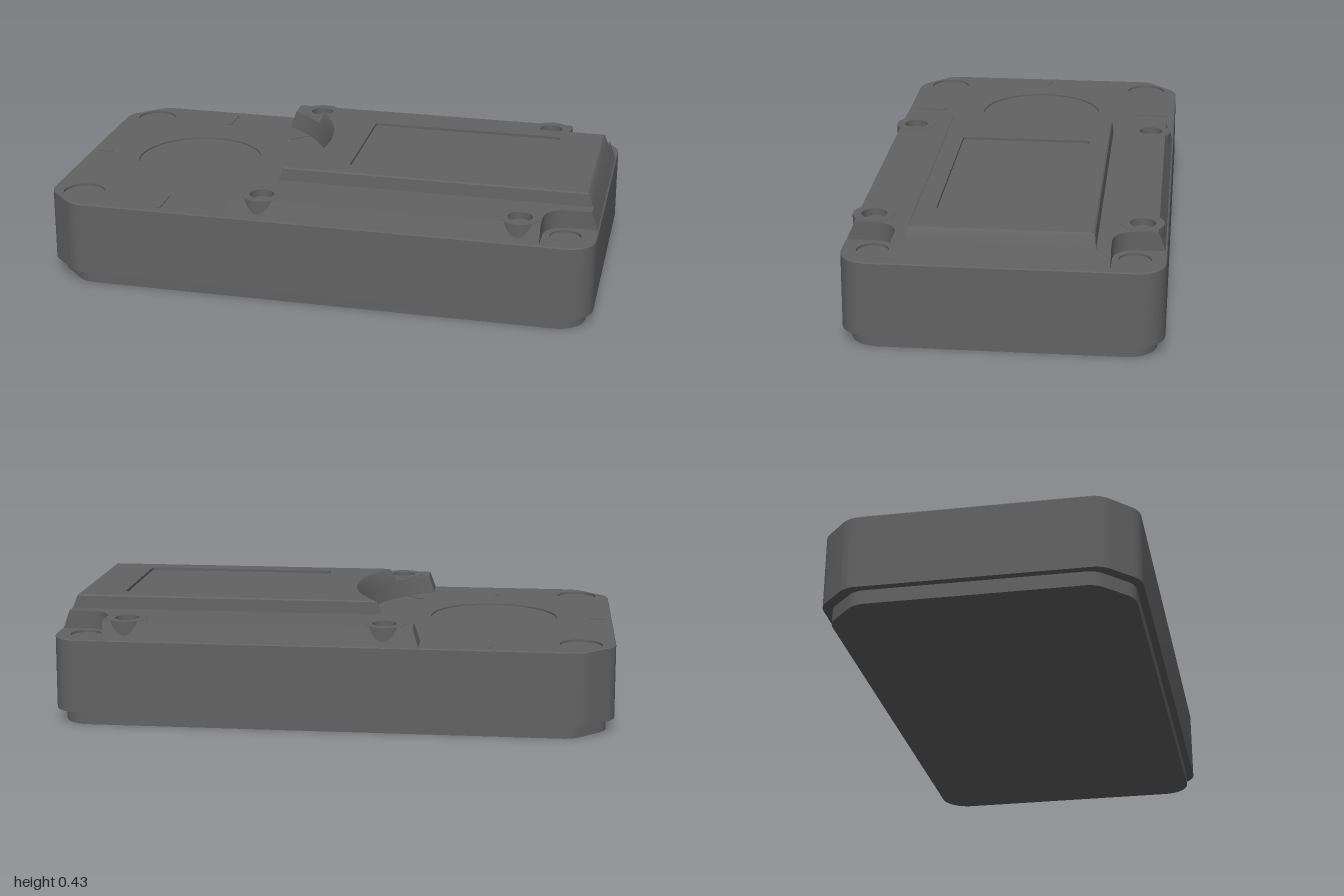
import * as THREE from 'three';
import { toCreasedNormals } from 'three/addons/utils/BufferGeometryUtils.js';

const material = new THREE.MeshStandardMaterial({ color: 0x626262 });
const V = (x, z) => new THREE.Vector2(x, z);
const FLOOR = 0.316, SHELF = 0.382, TOP = 0.431;
const DIAL_X = -0.58;

// Outline in x and z from [x, z, cornerRadius] corners
function outline(corners) {
  const pts = [], n = corners.length;
  corners.forEach(([x, z, r = 0], i) => {
    const p = V(x, z);
    if (!r) return pts.push(p);
    const a = corners[(i + n - 1) % n], b = corners[(i + 1) % n];
    const din = p.clone().sub(V(a[0], a[1])).normalize();
    const dout = V(b[0], b[1]).sub(p).normalize();
    const w = Math.sqrt((1 + din.dot(dout)) / 2);
    for (let k = 0; k <= 8; k++) {
      const t = k / 8, c0 = (1 - t) ** 2, c1 = 2 * w * t * (1 - t), c2 = t * t;
      pts.push(p.clone().addScaledVector(din, -r * c0 / (c0 + c1 + c2))
        .addScaledVector(dout, r * c2 / (c0 + c1 + c2)));
    }
  });
  return pts;
}

const circle = (x, z, r, n = 32) => Array.from({ length: n }, (_, i) =>
  V(x + r * Math.cos(i / n * 2 * Math.PI), z + r * Math.sin(i / n * 2 * Math.PI)));

// Solid through stacked rings [y, points], with blind pockets { pts, depth } in its top
function loft(name, rings, pockets = []) {
  const pos = [];
  const tri = (...vs) => vs.forEach(([p, y]) => pos.push(p.x, y, p.y));
  const wall = (lo, y0, hi, y1) => lo.forEach((a, i) => {
    const j = (i + 1) % lo.length;
    tri([a, y0], [hi[i], y1], [lo[j], y0]);
    tri([lo[j], y0], [hi[i], y1], [hi[j], y1]);
  });
  const cap = (pts, y, up, holes = []) => {
    const all = [...pts, ...holes.flat()];
    for (const [a, b, c] of THREE.ShapeUtils.triangulateShape([...pts], holes.map(h => [...h]))) {
      const ccw = THREE.ShapeUtils.area([all[a], all[b], all[c]]) > 0;
      const order = ccw === up ? [a, c, b] : [a, b, c];
      tri(...order.map(i => [all[i], y]));
    }
  };
  for (let i = 1; i < rings.length; i++) {
    wall(rings[i - 1][1], rings[i - 1][0], rings[i][1], rings[i][0]);
  }
  const [y, top] = rings[rings.length - 1];
  cap(rings[0][1], rings[0][0], false);
  cap(top, y, true, pockets.map(p => p.pts));
  for (const { pts, depth } of pockets) {
    wall(pts, y, pts, y - depth);
    cap(pts, y - depth, true);
  }
  const geo = new THREE.BufferGeometry();
  geo.setAttribute('position', new THREE.Float32BufferAttribute(pos, 3));
  const mesh = new THREE.Mesh(toCreasedNormals(geo, 0.5), material);
  mesh.name = name;
  return mesh;
}

// Case plan: clipped left corners, rounded right corners
const casePlan = (hx, hz) => outline([
  [-hx + 0.12, -hz, 0.035], [hx, -hz, 0.1], [hx, hz, 0.1],
  [-hx + 0.12, hz, 0.035], [-hx, hz - 0.115, 0.035], [-hx, -hz + 0.115, 0.035]]);

// Scooped edge around the dial, from +z to -z
function scoop(r, halfZ) {
  const a = Math.asin(halfZ / r);
  return Array.from({ length: 33 }, (_, i) => {
    const t = a * (1 - i / 16);
    return V(DIAL_X + r * Math.cos(t), r * Math.sin(t));
  });
}

// Shelf plan with notched right corners
function shelfPlan(left, right, hz, r) {
  const half = outline([[left, -hz], [0.81, -hz], [0.81, -0.36, 0.08], [right, -0.36],
    [right, 0.36], [0.81, 0.36, 0.08], [0.81, hz], [left, hz]]);
  return [...half, ...scoop(r, Math.sqrt(r * r - (left - DIAL_X) ** 2))];
}

const ridgePlan = (right, hz, r) => [V(right, -hz), V(right, hz), ...scoop(r, hz)];

export function createModel() {
  const group = new THREE.Group();

  // Inset foot and main case with shallow round recesses
  group.add(loft('basePlate', [[0, casePlan(0.972, 0.517)], [0.052, casePlan(0.972, 0.517)]]));
  const recesses = [{ pts: circle(-0.56, 0, 0.235, 64), depth: 0.006 }];
  for (const s of [-1, 1]) {
    recesses.push({ pts: circle(-0.875, s * 0.416, 0.075), depth: 0.008 });
    recesses.push({ pts: circle(0.89, s * 0.436, 0.055), depth: 0.008 });
  }
  group.add(loft('case', [
    [0.05, casePlan(1, 0.543)], [FLOOR - 0.004, casePlan(0.998, 0.541)],
    [FLOOR, casePlan(0.995, 0.538)]], recesses));

  // Raised shelf with four screw holes
  const screws = [-0.187, 0.733].flatMap(x => [[x, -0.455], [x, 0.455]]);
  group.add(loft('shelf', [
    [FLOOR - 0.005, shelfPlan(-0.313, 0.995, 0.537, 0.5)],
    [SHELF, shelfPlan(-0.29, 0.97, 0.51, 0.518)]],
  screws.map(([x, z]) => ({ pts: circle(x, z, 0.044), depth: 0.035 }))));

  // Central ridge with sunken panel
  const panel = outline([[0.08, -0.235, 0.015], [0.79, -0.235, 0.015],
    [0.79, 0.235, 0.015], [0.08, 0.235, 0.015]]);
  group.add(loft('ridge', [
    [SHELF - 0.001, ridgePlan(0.97, 0.312, 0.518)],
    [TOP - 0.005, ridgePlan(0.953, 0.307, 0.53)],
    [TOP, ridgePlan(0.948, 0.302, 0.534)]], [{ pts: panel, depth: 0.01 }]));

  // Screw bosses bulging out of the sloped sides, with screw heads
  const bossGeo = toCreasedNormals(new THREE.LatheGeometry(
    [V(0.074, 0.325), V(0.074, SHELF + 0.001), V(0.044, SHELF + 0.001)], 32), 0.5);
  const headGeo = new THREE.CylinderGeometry(0.032, 0.032, 0.02, 24);
  for (const [x, z] of screws) {
    const boss = new THREE.Mesh(bossGeo, material);
    boss.name = 'screwBoss';
    boss.position.set(x, 0, z);
    const head = new THREE.Mesh(headGeo, material);
    head.name = 'screwHead';
    head.position.set(x, SHELF - 0.03, z);
    group.add(boss, head);
  }

  // Fine radial marks around the dial: angle, radius, length
  const marks = [[-90, 0.45, 0.12], [90, 0.45, 0.12], [-45, 0.445, 0.08], [45, 0.445, 0.08],
    [180, 0.39, 0.06]];
  for (const [deg, r, length] of marks) {
    const a = THREE.MathUtils.degToRad(deg);
    const mark = new THREE.Mesh(new THREE.BoxGeometry(length, 0.004, 0.016), material);
    mark.name = 'dialMark';
    mark.position.set(-0.56 + r * Math.cos(a), FLOOR + 0.001, r * Math.sin(a));
    mark.rotation.y = -a;
    group.add(mark);
  }
  return group;
}
